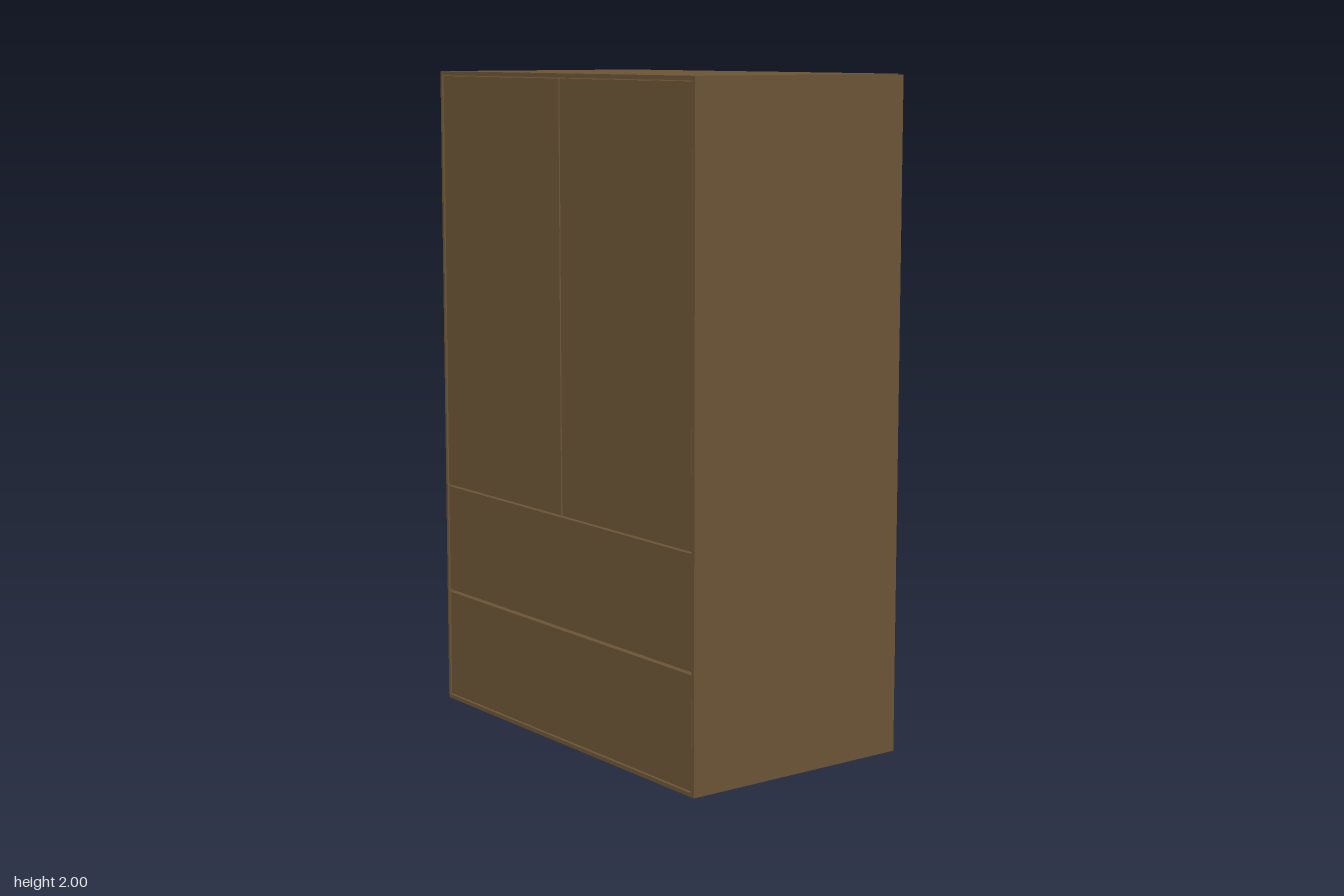
import * as THREE from 'three';

const wood = new THREE.MeshStandardMaterial({ color: 0x6b5436 });

// Box given by its limits on each axis
function panel(parent, name, [x0, x1], [y0, y1], [z0, z1]) {
  const mesh = new THREE.Mesh(new THREE.BoxGeometry(x1 - x0, y1 - y0, z1 - z0), wood);
  mesh.position.set((x0 + x1) / 2, (y0 + y1) / 2, (z0 + z1) / 2);
  mesh.name = name;
  parent.add(mesh);
}

export function createModel() {
  const cabinet = new THREE.Group();
  cabinet.name = 'wardrobe';

  // Carcass: side walls, top, bottom and rear board
  const depth = [-0.38, 0.35], width = [-0.633, 0.633];
  panel(cabinet, 'sideWallLeft', depth, [0.005, 2], [0.633, 0.645]);
  panel(cabinet, 'sideWallRight', depth, [0.005, 2], [-0.645, -0.636]);
  panel(cabinet, 'topBoard', depth, [1.988, 2], width);
  panel(cabinet, 'bottomBoard', depth, [0.005, 0.017], width);
  panel(cabinet, 'rearBoard', [0.35, 0.38], [0, 1.997], width);

  // Inner shelves and divider behind the joints
  const inner = [-0.345, 0.35];
  panel(cabinet, 'doorShelf', inner, [0.69, 0.71], width);
  panel(cabinet, 'drawerShelf', inner, [0.35, 0.37], width);
  panel(cabinet, 'divider', inner, [0.71, 1.988], [-0.01, 0.01]);

  // Pair of doors, facing -x
  const face = [-0.378, -0.345];
  for (const side of [-1, 1]) {
    const z = [side * 0.003, side * 0.63].sort((a, b) => a - b);
    panel(cabinet, side > 0 ? 'doorLeft' : 'doorRight', face, [0.704, 1.985], z);
  }

  // Two full-width drawer fronts below the doors
  [[0.021, 0.355], [0.364, 0.698]].forEach((y, i) => {
    panel(cabinet, i ? 'upperDrawer' : 'lowerDrawer', face, y, [-0.63, 0.63]);
  });

  return cabinet;
}
